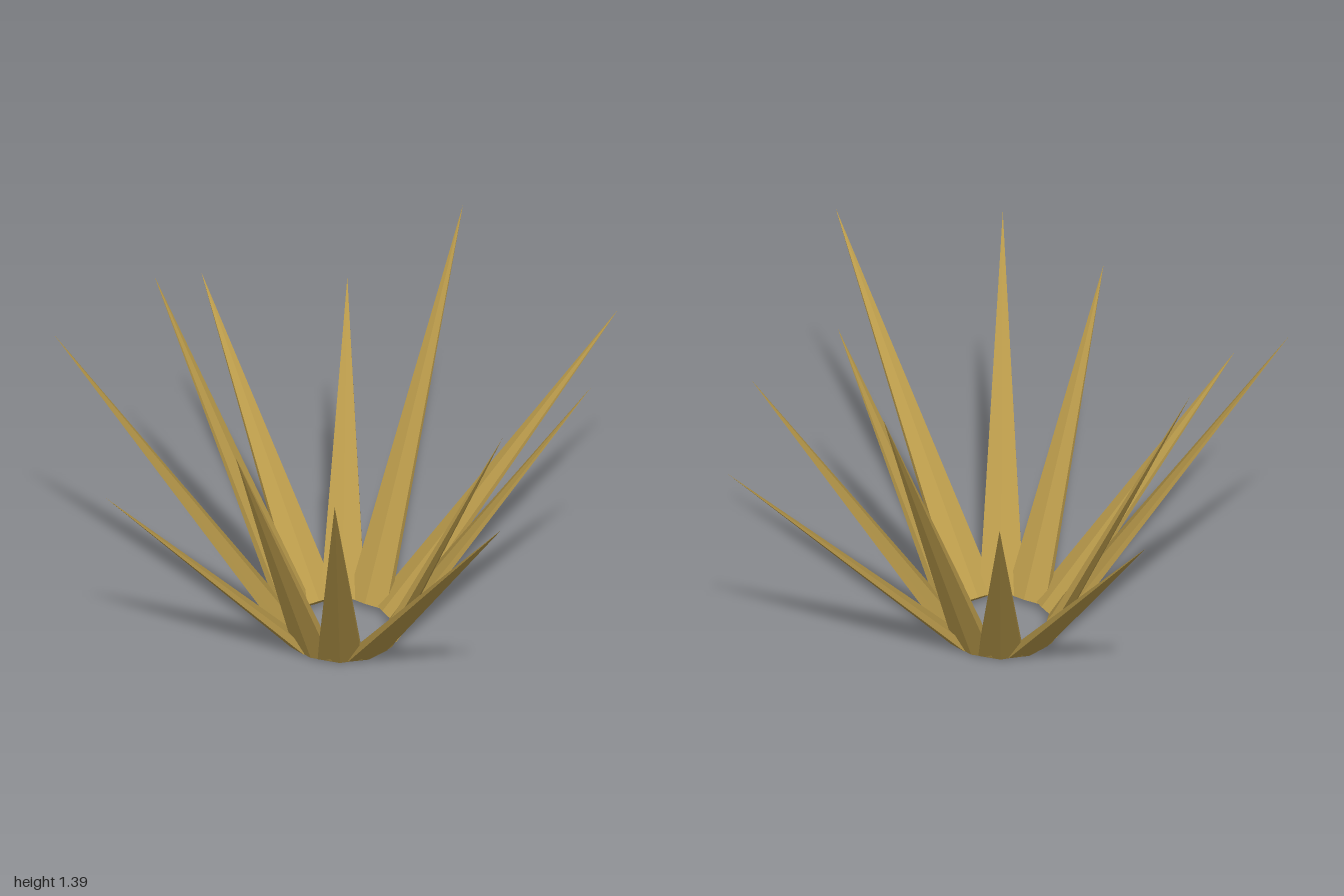
import * as THREE from 'three';

// Reach from the ring centre and height of each spike tip, every 30 degrees
const TIPS = [
  [0.69, 1.08], [1.22, 1.14], [0.98, 1.18], [0.74, 1.17],
  [0.98, 0.89], [1.05, 1.28], [0.8, 1.28], [1.07, 0.96],
  [0.86, 0.99], [0.85, 1.39], [1.15, 1.05], [0.91, 1.08],
];
const RING_RADIUS = 0.19;
const BASE_HEIGHT = 0.022;
const SPIKE_RADIUS = 0.094;
const FLATNESS = 0.3;

export function createModel() {
  const model = new THREE.Group();
  model.name = 'spikyPlant';

  const leafMaterial = new THREE.MeshStandardMaterial({ color: 0xb8994a, flatShading: true });
  leafMaterial.name = 'dry gold';

  // Ring of flattened six-sided spikes leaning outwards
  const ring = new THREE.Group();
  ring.name = 'spikeRing';
  ring.position.set(-0.07, 0, 0.07);
  model.add(ring);

  TIPS.forEach(([reach, height], i) => {
    const out = reach - RING_RADIUS;
    const up = height - BASE_HEIGHT;
    const length = Math.hypot(out, up);

    const geometry = new THREE.ConeGeometry(SPIKE_RADIUS, length, 6);
    geometry.translate(0, length / 2, 0);
    geometry.scale(1, 1, FLATNESS);
    geometry.rotateX(Math.atan2(out, up));
    geometry.translate(0, BASE_HEIGHT, RING_RADIUS);

    const spike = new THREE.Mesh(geometry, leafMaterial);
    spike.name = `spike${i + 1}`;
    spike.rotation.y = Math.PI / 2 - (i * Math.PI) / 6;
    ring.add(spike);
  });

  return model;
}
